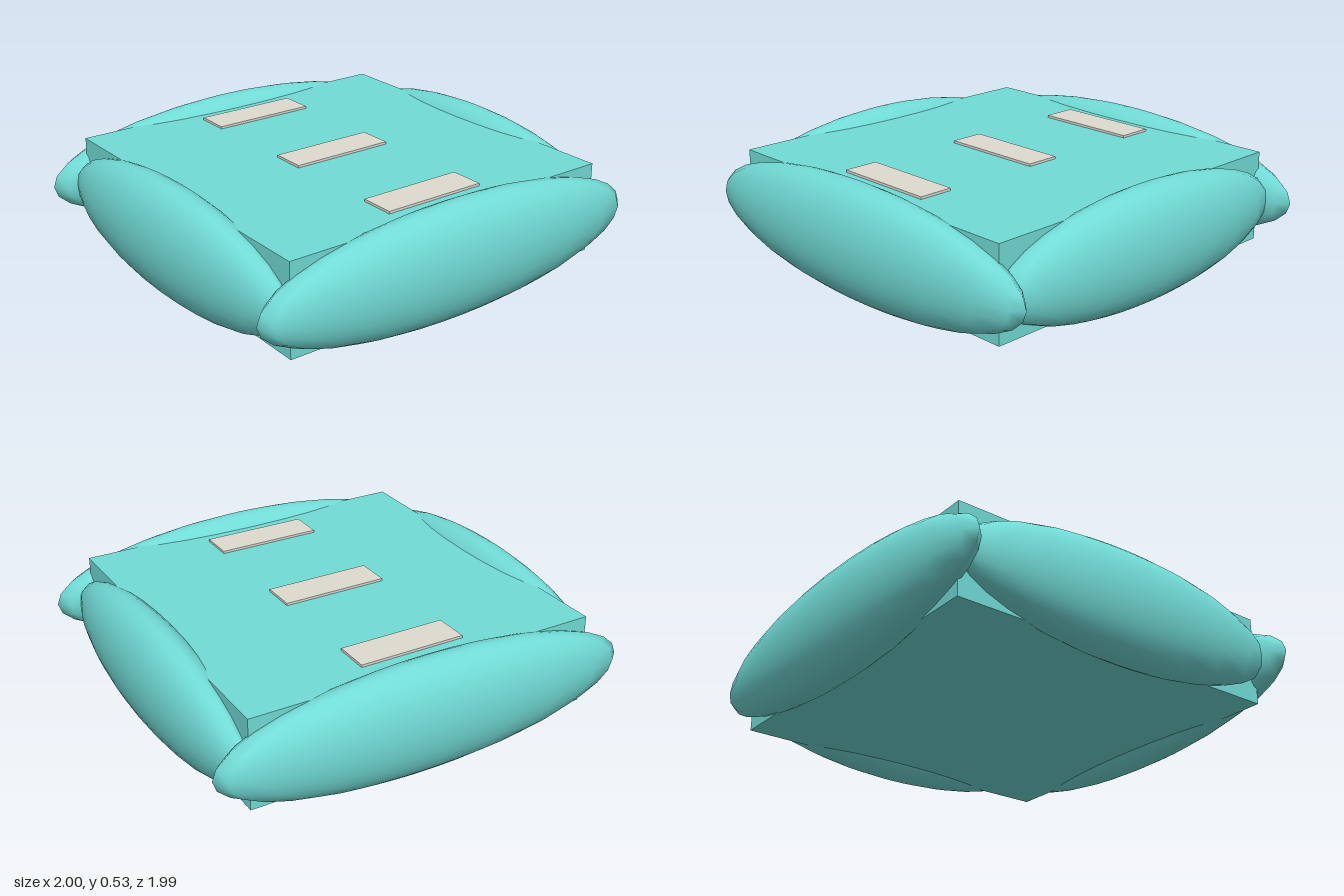
import * as THREE from 'three';

export function createModel() {
  const raft = new THREE.Group();
  raft.name = 'raft';
  const teal = new THREE.MeshStandardMaterial({ color: 0x72dcd7 });
  const pale = new THREE.MeshStandardMaterial({ color: 0xdedbd0 });

  const add = (name, geometry, material, x, y, z) => {
    const mesh = new THREE.Mesh(geometry, material);
    mesh.name = name;
    mesh.position.set(x, y, z);
    raft.add(mesh);
  };

  // Square deck block, its top just below the crest of the floats
  add('deck', new THREE.BoxGeometry(1.66, 0.425, 1.66), teal, 0, 0.268, 0);

  // Stretched rounded floats: full length at front and back, shorter at the sides
  const floatShape = (rx, rz) => new THREE.SphereGeometry(1, 20, 16).scale(rx, 0.265, rz);
  add('frontFloat', floatShape(1, 0.145), teal, 0, 0.265, 0.852);
  add('backFloat', floatShape(1, 0.145), teal, 0, 0.265, -0.852);
  add('leftFloat', floatShape(0.145, 0.86), teal, 0.852, 0.265, 0);
  add('rightFloat', floatShape(0.145, 0.86), teal, -0.852, 0.265, 0);

  // Three thin pads across the deck
  ['backPad', 'middlePad', 'frontPad'].forEach((name, i) => {
    add(name, new THREE.BoxGeometry(0.5, 0.03, 0.163), pale, 0, 0.477, (i - 1) * 0.633);
  });

  return raft;
}
